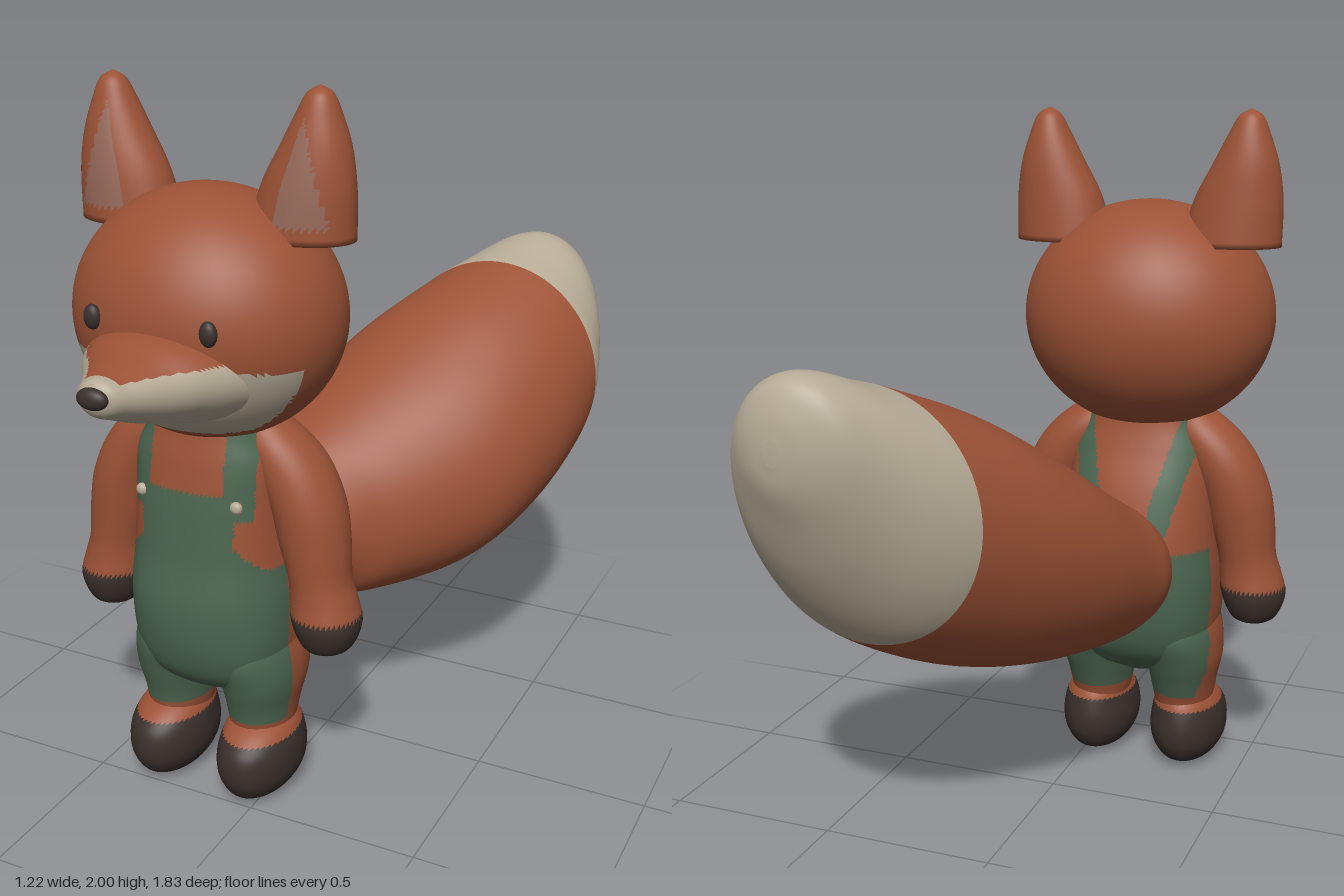
import * as THREE from 'three';

const X = -0.175; // centre line of the body
const FUR = 0x9c5236, GREEN = 0x4c6650, CREAM = 0xb5aa95, DARK = 0x3a302c, PINK = 0x96685a;
const mats = {};
const mat = (color) => (mats[color] ??= new THREE.MeshStandardMaterial({ color }));
const shades = { [FUR]: 'Fur', [GREEN]: 'Overalls', [CREAM]: 'Cream', [DARK]: 'Dark', [PINK]: 'Inner' };

// Smooth skin over elliptical rings: rows of [height, centre, centre, radius, radius], ascending.
function loft(rows, { alongZ = false, sides = 44, steps = 40, power = 2 } = {}) {
  const mid = new THREE.CatmullRomCurve3(rows.map((r) => new THREE.Vector3(r[0], r[1], r[2])), false, 'catmullrom', 0.5);
  const rad = new THREE.CatmullRomCurve3(rows.map((r) => new THREE.Vector3(r[3], r[4], 0)), false, 'catmullrom', 0.5);
  const pos = [], idx = [];
  const bend = (v) => Math.sign(v) * Math.abs(v) ** (2 / power);
  for (let i = -1; i <= steps + 1; i++) {
    const u = Math.min(Math.max(i / steps, 0), 1);
    const c = mid.getPoint(u), r = rad.getPoint(u);
    const k = i < 0 || i > steps ? 0 : 1; // closing rings
    for (let j = 0; j < sides; j++) {
      const a = (j / sides) * Math.PI * 2;
      const p = c.y + k * r.x * bend(Math.cos(a));
      const q = k * r.y * bend(Math.sin(a));
      if (alongZ) pos.push(p, c.z - q, c.x);
      else pos.push(p, c.x, c.z + q);
    }
  }
  for (let i = 0; i < steps + 2; i++) {
    for (let j = 0; j < sides; j++) {
      const a = i * sides + j, b = i * sides + ((j + 1) % sides);
      idx.push(a, a + sides, b, b, a + sides, b + sides);
    }
  }
  const g = new THREE.BufferGeometry();
  g.setAttribute('position', new THREE.Float32BufferAttribute(pos, 3));
  g.setIndex(idx);
  g.computeVertexNormals();
  return g;
}

function ellipsoid(x, y, z, rx, ry, rz, w = 24, h = 16) {
  return new THREE.SphereGeometry(1, w, h).scale(rx, ry, rz).translate(x, y, z);
}

// Splits one smooth surface into coloured meshes; rule(d, y, z) gives a colour, d = distance from centre line.
function paint(name, geo, rule) {
  const group = new THREE.Group();
  group.name = name;
  const p = geo.attributes.position, idx = geo.index.array, lists = {};
  for (let t = 0; t < idx.length; t += 3) {
    const tri = [idx[t], idx[t + 1], idx[t + 2]];
    const avg = (f) => tri.reduce((s, v) => s + f(v), 0) / 3;
    const col = rule(Math.abs(avg((v) => p.getX(v)) - X), avg((v) => p.getY(v)), avg((v) => p.getZ(v)));
    (lists[col] ??= []).push(...tri);
  }
  for (const col in lists) {
    const g = new THREE.BufferGeometry();
    g.setAttribute('position', p);
    g.setAttribute('normal', geo.attributes.normal);
    g.setIndex(lists[col]);
    const m = new THREE.Mesh(g, mat(Number(col)));
    m.name = name + shades[col];
    group.add(m);
  }
  return group;
}

// Overalls: trousers with a side stripe, bib and straps
function clothes(d, y, z) {
  if (y < 0.24) return FUR;
  if (y < 0.73) return d > 0.17 && Math.abs(z - 0.31) < 0.065 ? FUR : GREEN;
  if (z > 0.33) {
    if (y < 0.95 && d < 0.14 + Math.max(0, 0.8 - y)) return GREEN;
    return y > 0.88 && Math.abs(d - 0.147) < 0.036 ? GREEN : FUR;
  }
  return Math.abs(d - 0.08 - (y - 0.75) * 0.25) < 0.036 ? GREEN : FUR;
}

export function createModel() {
  const model = new THREE.Group();
  model.name = 'fox';
  const add = (name, geo, color) => {
    const m = new THREE.Mesh(geo, mat(color));
    m.name = name;
    model.add(m);
  };

  // Torso
  model.add(paint('torso', loft([
    [0.3, X, 0.33, 0.05, 0.06], [0.36, X, 0.33, 0.19, 0.16], [0.45, X, 0.325, 0.235, 0.215],
    [0.6, X, 0.32, 0.245, 0.238], [0.75, X, 0.315, 0.235, 0.222], [0.9, X, 0.325, 0.225, 0.197],
    [1.02, X, 0.34, 0.215, 0.165], [1.1, X, 0.345, 0.18, 0.145], [1.2, X, 0.345, 0.15, 0.13],
  ], { sides: 120, steps: 90, power: 2.35 }), clothes));

  // Head with cream cheeks
  model.add(paint('head', ellipsoid(X, 1.405, 0.345, 0.375, 0.337, 0.323, 112, 80),
    (d, y, z) => (z > 0.46 && y < 1.365 - 0.12 * d && y > 1.13 + 0.3 * d * d ? CREAM : FUR)));

  // Muzzle
  model.add(paint('muzzle', loft([
    [0.45, X, 1.3, 0.29, 0.155], [0.6, X, 1.31, 0.225, 0.13], [0.68, X, 1.318, 0.18, 0.11],
    [0.75, X, 1.316, 0.13, 0.087], [0.83, X, 1.323, 0.082, 0.06], [0.88, X, 1.332, 0.052, 0.045],
    [0.9, X, 1.335, 0.01, 0.01],
  ], { alongZ: true, sides: 80 }), (d, y, z) => (y < 1.365 || z > 0.85 ? CREAM : FUR)));
  add('nose', ellipsoid(X, 1.337, 0.893, 0.043, 0.028, 0.023), DARK);

  // Tail, swept back to the left, with cream tip
  model.add(paint('tail', loft([
    [-0.917, 0.36, 1.225, 0.02, 0.03], [-0.905, 0.355, 1.225, 0.08, 0.1], [-0.87, 0.342, 1.215, 0.15, 0.178],
    [-0.8, 0.33, 1.145, 0.22, 0.265], [-0.7, 0.295, 1.05, 0.295, 0.325], [-0.6, 0.26, 0.985, 0.34, 0.355],
    [-0.4, 0.18, 0.885, 0.38, 0.365], [-0.2, 0.095, 0.79, 0.375, 0.33], [0, -0.025, 0.71, 0.295, 0.26],
    [0.1, -0.105, 0.685, 0.225, 0.21], [0.25, -0.15, 0.65, 0.15, 0.15],
  ], { alongZ: true, sides: 80, steps: 80 }), (d, y, z) => (z < -0.63 ? CREAM : FUR)));

  // Paired parts
  for (const [side, s] of [['left', 1], ['right', -1]]) {
    const at = (d) => X + s * d;
    model.add(paint(side + 'Ear', loft([
      [1.62, at(0.25), 0.305, 0.147, 0.107], [1.75, at(0.27), 0.305, 0.127, 0.094],
      [1.85, at(0.289), 0.302, 0.094, 0.078], [1.93, at(0.297), 0.3, 0.06, 0.056],
      [1.98, at(0.3), 0.3, 0.035, 0.034], [2, at(0.3), 0.3, 0.004, 0.004],
    ]), (d, y, z) => (z > 0.31 && y > 1.66 && Math.abs(d - 0.285) < (1.93 - y) * 0.28 ? PINK : FUR)));
    add(side + 'Eye', ellipsoid(at(0.167), 1.445, 0.64, 0.024, 0.033, 0.018), DARK);
    add(side + 'Button', ellipsoid(at(0.145), 0.92, 0.488, 0.018, 0.018, 0.014, 16, 12), CREAM);

    model.add(paint(side + 'Arm', loft([
      [0.478, at(0.345), 0.35, 0.02, 0.02], [0.5, at(0.345), 0.35, 0.068, 0.073], [0.57, at(0.343), 0.35, 0.097, 0.1],
      [0.64, at(0.332), 0.348, 0.093, 0.093], [0.7, at(0.32), 0.345, 0.087, 0.092], [0.8, at(0.302), 0.34, 0.099, 0.1],
      [0.9, at(0.28), 0.335, 0.105, 0.107], [1, at(0.235), 0.33, 0.107, 0.105], [1.08, at(0.18), 0.33, 0.095, 0.09],
      [1.15, at(0.13), 0.335, 0.05, 0.05],
    ]), (d, y) => (y < 0.595 ? DARK : FUR)));

    model.add(paint(side + 'Leg', loft([
      [0.16, at(0.137), 0.34, 0.08, 0.1], [0.22, at(0.135), 0.34, 0.092, 0.115], [0.28, at(0.135), 0.335, 0.102, 0.132],
      [0.36, at(0.135), 0.33, 0.118, 0.16], [0.45, at(0.12), 0.325, 0.128, 0.185], [0.55, at(0.1), 0.325, 0.12, 0.16],
    ]), clothes));

    model.add(paint(side + 'Foot', loft([
      [0, at(0.145), 0.37, 0.04, 0.07], [0.025, at(0.145), 0.37, 0.08, 0.13], [0.07, at(0.145), 0.37, 0.108, 0.163],
      [0.12, at(0.145), 0.37, 0.116, 0.171], [0.17, at(0.145), 0.368, 0.11, 0.16], [0.21, at(0.142), 0.355, 0.095, 0.132],
      [0.24, at(0.138), 0.34, 0.07, 0.09],
    ]), (d, y) => (y < 0.195 ? DARK : FUR)));
  }
  return model;
}
